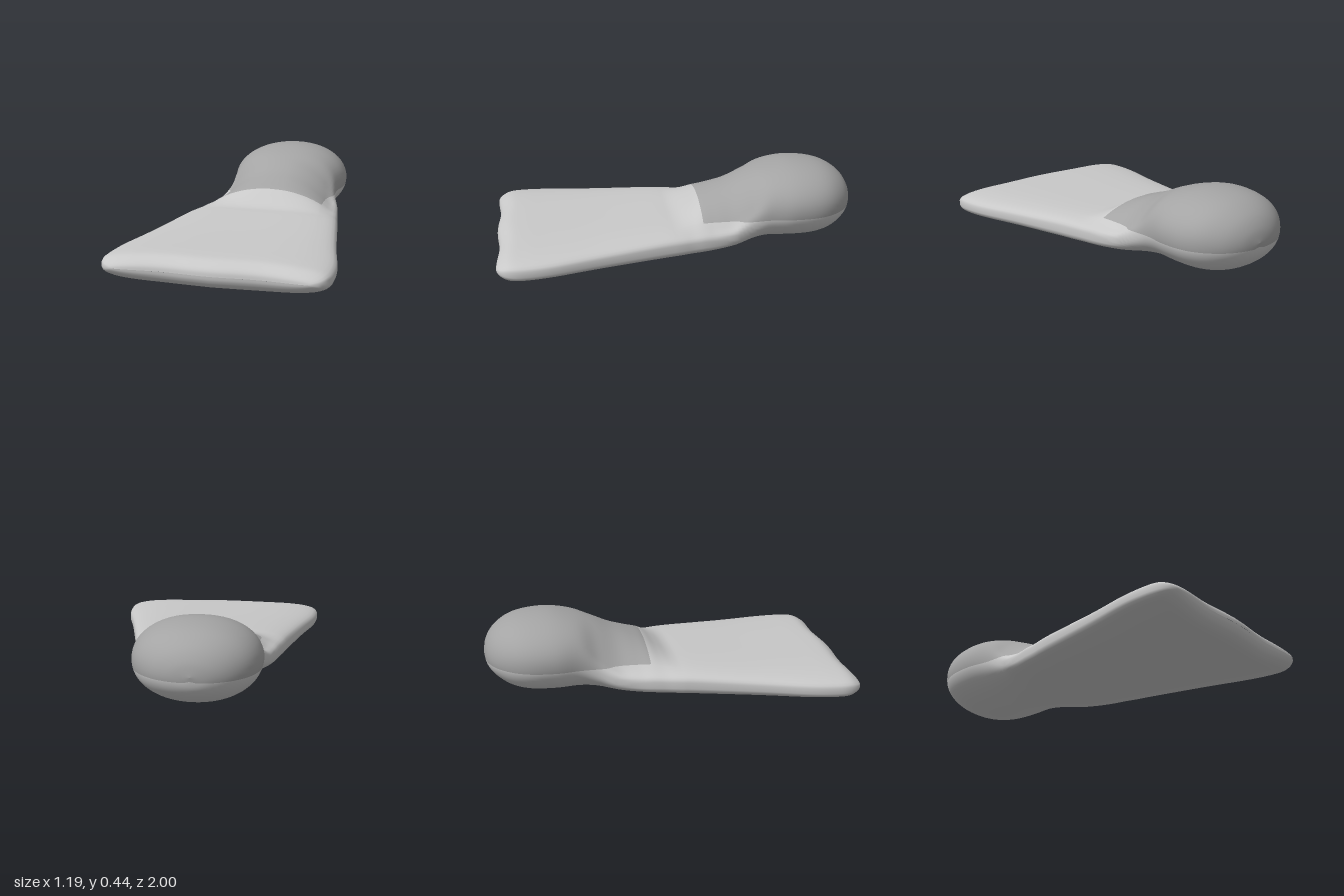
import * as THREE from 'three';

// Cross-sections from heel to tip:
// z, half width, top y, bottom y, widest y, squareness, height of the instep bump
const SECTIONS = [
  [-1, 0, 0.23, 0.23, 0.23, 2],
  [-0.985, 0.105, 0.3, 0.165, 0.23, 2],
  [-0.94, 0.2, 0.365, 0.11, 0.23, 2.05],
  [-0.86, 0.28, 0.415, 0.06, 0.235, 2.1],
  [-0.76, 0.325, 0.44, 0.035, 0.235, 2.1],
  [-0.63, 0.338, 0.445, 0.03, 0.235, 2.1],
  [-0.5, 0.32, 0.42, 0.04, 0.21, 2.2],
  [-0.4, 0.328, 0.385, 0.045, 0.165, 2.4, 0.08],
  [-0.3, 0.36, 0.34, 0.043, 0.13, 2.9, 0.13],
  [-0.2, 0.382, 0.305, 0.04, 0.115, 3.3, 0.115],
  [-0.12, 0.4, 0.275, 0.038, 0.112, 3.5, 0.085],
  [-0.05, 0.413, 0.228, 0.036, 0.11, 3.5, 0.04],
  [0.02, 0.43, 0.195, 0.033, 0.11, 3.5, 0.006],
  [0.12, 0.45, 0.188, 0.03, 0.108, 3.5],
  [0.45, 0.52, 0.172, 0.017, 0.095, 3.3],
  [0.7, 0.58, 0.163, 0.007, 0.085, 3.2],
  [0.85, 0.597, 0.158, 0.002, 0.08, 3.2],
  [0.93, 0.59, 0.15, 0.005, 0.08, 3.2],
  [0.975, 0.565, 0.127, 0.027, 0.08, 3],
  [0.995, 0.53, 0.105, 0.055, 0.08, 3],
  [1, 0.5, 0.08, 0.08, 0.08, 3],
];
const POCKET_END = 10; // section where the dark foot pocket stops
const SEAM_Y = 0.2;    // height of the pocket's lower seam
const STEPS = 5;
const TOP_SEGS = 28;
const LOW_SEGS = 36;

// Smooth interpolation between sections
function sectionAt(i, u) {
  const row = (k) => SECTIONS[Math.min(Math.max(k, 0), SECTIONS.length - 1)];
  return [0, 1, 2, 3, 4, 5, 6].map((c) => {
    const [a, b, d, e] = [i - 1, i, i + 1, i + 2].map((k) => row(k)[c] ?? 0);
    const m0 = (d - a) / 2;
    const m1 = (e - b) / 2;
    return b + u * (m0 + u * (3 * (d - b) - 2 * m0 - m1 + u * (2 * (b - d) + m0 + m1)));
  });
}

// Point on a section's rounded outline at angle t
function outline([z, w, top, bottom, side, n, bump], t) {
  const power = (v) => Math.sign(v) * Math.abs(v) ** (2 / n);
  const px = power(Math.cos(t));
  const py = power(Math.sin(t));
  let y = side + py * (py > 0 ? top - bump - side : side - bottom);
  if (py > 0) y += bump * Math.max(0, 1 - (px / 0.87) ** 2);
  const x = w * px;
  // heel sits slightly off centre, tip edge is gently scalloped
  const shift = 0.012 * THREE.MathUtils.smoothstep(-z, 0.3, 0.6);
  const wave = 0.007 * (1 - Math.cos(x * Math.PI * 4)) * THREE.MathUtils.smoothstep(z, 0.8, 1);
  return [x - shift, y, z - wave];
}

// Angle at which the outline crosses the seam height
function seamAngle(section) {
  let lo = -Math.PI / 2;
  let hi = Math.PI / 2;
  for (let k = 0; k < 40; k++) {
    const mid = (lo + hi) / 2;
    if (outline(section, mid)[1] < SEAM_Y) lo = mid;
    else hi = mid;
  }
  return lo;
}

export function createModel() {
  const group = new THREE.Group();
  group.name = 'swimFin';
  const lightRubber = new THREE.MeshStandardMaterial({ color: 0xc8c8c8 });
  lightRubber.name = 'light grey rubber';
  const darkRubber = new THREE.MeshStandardMaterial({ color: 0xa4a4a4 });
  darkRubber.name = 'dark grey rubber';

  // Rings of points, with columns placed exactly on the seam
  const columns = TOP_SEGS + LOW_SEGS;
  const rings = (SECTIONS.length - 1) * STEPS;
  const positions = [];
  let seam = 0;
  for (let r = 0; r <= rings; r++) {
    const section = sectionAt(Math.floor(r / STEPS), (r % STEPS) / STEPS);
    if (r > 0 && r <= POCKET_END * STEPS) seam = seamAngle(section);
    for (let j = 0; j < columns; j++) {
      const t = j < TOP_SEGS
        ? seam + (Math.PI - 2 * seam) * (j / TOP_SEGS)
        : Math.PI - seam + (Math.PI + 2 * seam) * ((j - TOP_SEGS) / LOW_SEGS);
      positions.push(...outline(section, t));
    }
  }

  // Skin, sorted into pocket and blade faces
  const pocketFaces = [];
  const bladeFaces = [];
  for (let r = 0; r < rings; r++) {
    for (let j = 0; j < columns; j++) {
      const k = (j + 1) % columns;
      const [a, b] = [r * columns + j, r * columns + k];
      const [d, c] = [a + columns, b + columns];
      const faces = r < POCKET_END * STEPS && j < TOP_SEGS ? pocketFaces : bladeFaces;
      faces.push(a, b, c, a, c, d);
    }
  }

  // Both parts share positions and normals so shading runs smoothly over the seam
  const skin = new THREE.BufferGeometry();
  skin.setAttribute('position', new THREE.Float32BufferAttribute(positions, 3));
  skin.setIndex([...pocketFaces, ...bladeFaces]);
  skin.computeVertexNormals();

  const addPart = (name, faces, material) => {
    const geometry = skin.clone();
    geometry.setIndex(faces);
    const mesh = new THREE.Mesh(geometry, material);
    mesh.name = name;
    group.add(mesh);
  };
  addPart('footPocket', pocketFaces, darkRubber);
  addPart('bladeAndSole', bladeFaces, lightRubber);
  return group;
}
